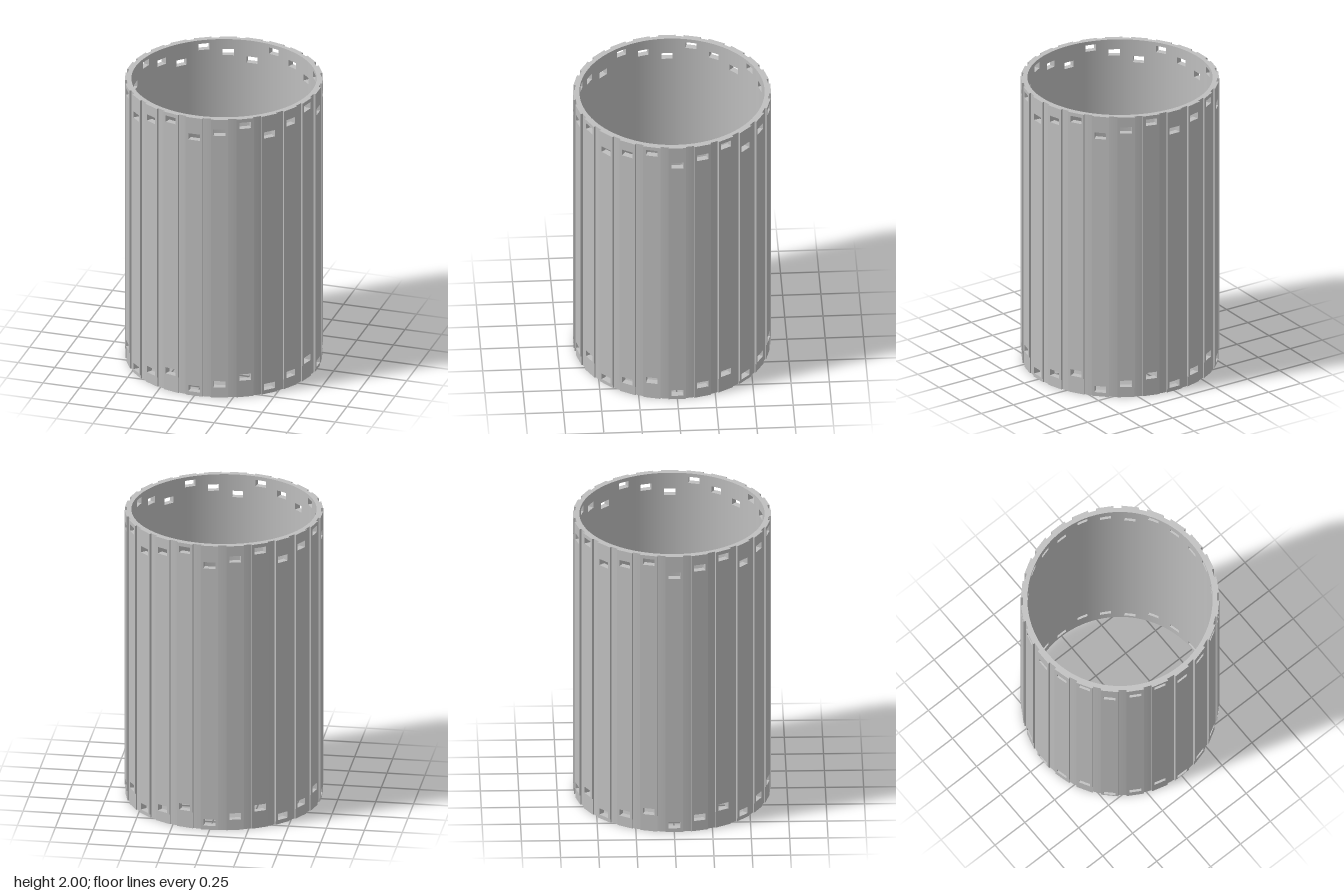
import * as THREE from 'three';

const HEIGHT = 2, COUNT = 24, SECTOR = (Math.PI * 2) / COUNT;
const INNER = 0.604, WALL = 0.633, SLAT = 0.645, RECESS = 0.639;
const SLAT_HALF = 0.057, WINDOW_HALF = 0.039, WINDOW_HEIGHT = 0.045;

// One closed sector of the tube: wall, raised flat slat and two windows.
// Each grid cell has an outer surface; faces are added where depth changes.
function sectorGeometry(level) {
  const lower = 0.03 + level * 0.045, upper = 1.84 + level * 0.045;
  const a = Math.atan(SLAT_HALF / SLAT), b = Math.atan(WINDOW_HALF / SLAT), h = SECTOR / 2;
  const cols = [-h, -a, -b, 0, b, a, h];
  const rows = [0, lower - 0.006, lower, lower + WINDOW_HEIGHT, upper, upper + WINDOW_HEIGHT, HEIGHT];

  const kind = (c, r) => {
    if ((r === 2 || r === 4) && (c === 2 || c === 3)) return 'window';
    if (c === 0 || c === 5) return 'wall';
    return r === 0 ? 'recess' : 'slat';
  };
  // Slats are flat, so their radius grows towards the edges
  const radius = (k, t) => ({
    window: INNER, wall: WALL, recess: RECESS / Math.cos(t), slat: SLAT / Math.cos(t),
  })[k];
  const point = (t, y, r) => new THREE.Vector3(Math.sin(t) * r, y, Math.cos(t) * r);
  const radial = (t, s = 1) => new THREE.Vector3(Math.sin(t) * s, 0, Math.cos(t) * s);

  const pos = [], nor = [];
  const quad = (p, n) => {
    const face = p[1].clone().sub(p[0]).cross(p[2].clone().sub(p[0]));
    const order = face.dot(n[0]) > 0 ? [0, 1, 2, 0, 2, 3] : [0, 2, 1, 0, 3, 2];
    for (const i of order) {
      pos.push(p[i].x, p[i].y, p[i].z);
      nor.push(n[i].x, n[i].y, n[i].z);
    }
  };
  const flat = (n) => [n, n, n, n];

  for (let c = 0; c < 6; c++) for (let r = 0; r < 6; r++) {
    const t0 = cols[c], t1 = cols[c + 1], y0 = rows[r], y1 = rows[r + 1], k = kind(c, r);

    // Outer and inner skins
    if (k !== 'window') {
      const skin = (r0, r1) => [point(t0, y0, r0), point(t1, y0, r1), point(t1, y1, r1), point(t0, y1, r0)];
      const around = (s) => [radial(t0, s), radial(t1, s), radial(t1, s), radial(t0, s)];
      quad(skin(radius(k, t0), radius(k, t1)), k === 'wall' ? around(1) : flat(radial(0)));
      quad(skin(INNER, INNER), around(-1));
    }

    // Slat sides and window jambs
    if (c < 5) {
      const ra = radius(k, t1), rb = radius(kind(c + 1, r), t1);
      if (Math.abs(ra - rb) > 1e-6) {
        const s = ra > rb ? 1 : -1;
        quad([point(t1, y0, ra), point(t1, y1, ra), point(t1, y1, rb), point(t1, y0, rb)],
          flat(new THREE.Vector3(Math.cos(t1) * s, 0, -Math.sin(t1) * s)));
      }
    }

    // Ledges, window sills and the end rims
    const across = (y, k0, k1, up) => quad(
      [point(t0, y, radius(k0, t0)), point(t1, y, radius(k0, t1)),
        point(t1, y, radius(k1, t1)), point(t0, y, radius(k1, t0))],
      flat(new THREE.Vector3(0, up, 0)));
    if (r === 0) across(y0, k, 'window', -1);
    if (r === 5) across(y1, k, 'window', 1);
    else if (kind(c, r + 1) !== k) {
      const above = kind(c, r + 1);
      across(y1, k, above, radius(k, t0) > radius(above, t0) ? 1 : -1);
    }
  }
  const g = new THREE.BufferGeometry();
  g.setAttribute('position', new THREE.Float32BufferAttribute(pos, 3));
  g.setAttribute('normal', new THREE.Float32BufferAttribute(nor, 3));
  return g;
}

export function createModel() {
  const model = new THREE.Group();
  model.name = 'slattedTube';
  const grey = new THREE.MeshStandardMaterial({ color: 0xbfbfbf });
  grey.name = 'plainGrey';

  // Windows climb through three heights around the tube
  const sectors = [0, 1, 2].map(sectorGeometry);
  for (let i = 0; i < COUNT; i++) {
    const mesh = new THREE.Mesh(sectors[i % 3], grey);
    mesh.name = `wallSector${i + 1}`;
    mesh.rotation.y = i * SECTOR;
    model.add(mesh);
  }
  return model;
}
